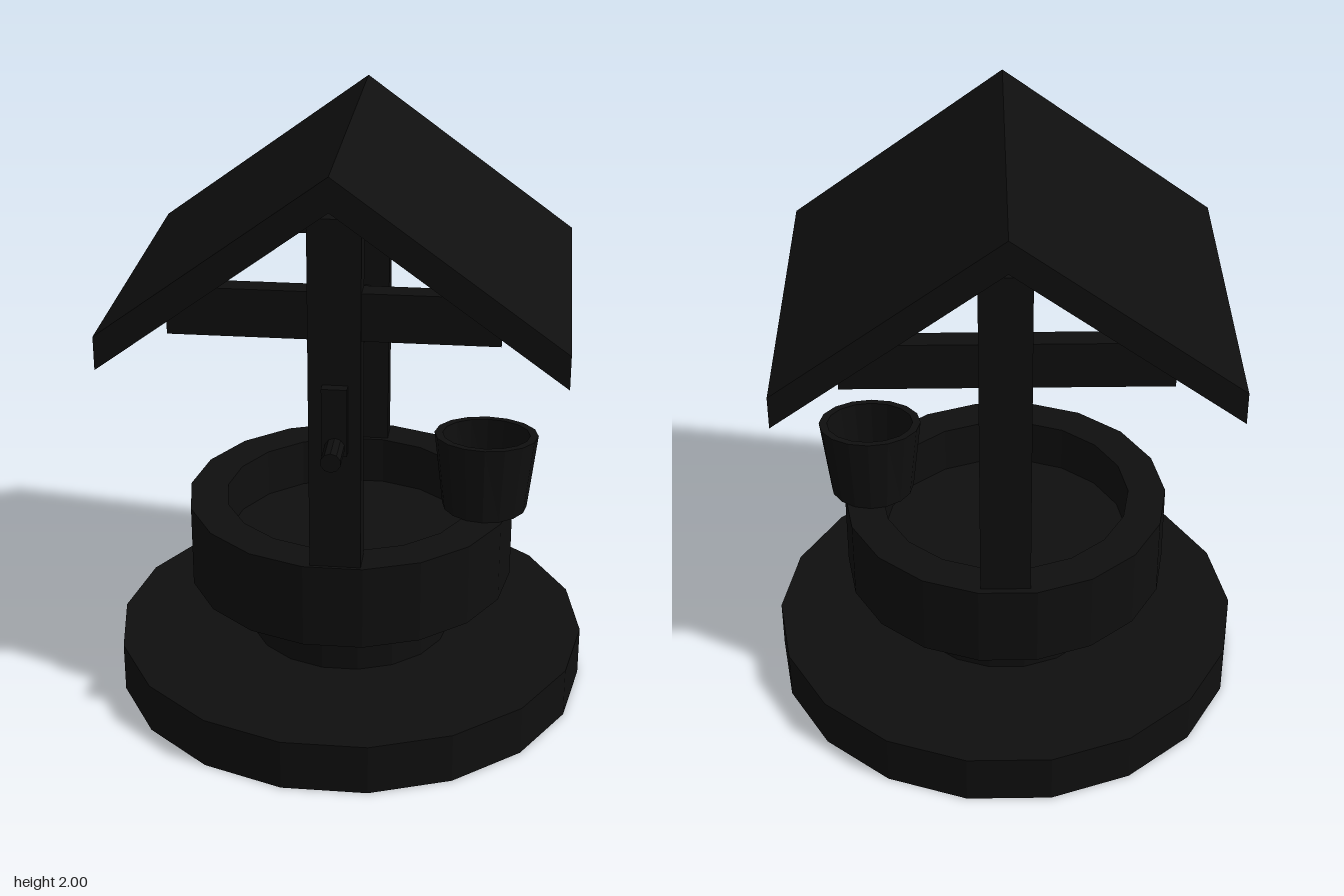
import * as THREE from 'three';

const material = new THREE.MeshStandardMaterial({ color: 0x0f0f0f, flatShading: true });

export function createModel() {
  const model = new THREE.Group();
  model.name = 'wishingWell';

  const add = (name, geometry, x = 0, y = 0, z = 0) => {
    const mesh = new THREE.Mesh(geometry, material);
    mesh.name = name;
    mesh.position.set(x, y, z);
    model.add(mesh);
    return mesh;
  };
  // Box given by its extents on each axis
  const box = (name, x0, x1, y0, y1, z0, z1) =>
    add(name, new THREE.BoxGeometry(x1 - x0, y1 - y0, z1 - z0),
      (x0 + x1) / 2, (y0 + y1) / 2, (z0 + z1) / 2);
  // Turned solid, with a corner of the polygon on the x axis
  const turned = (profile, sides = 18) => new THREE.LatheGeometry(
    profile.map(([r, y]) => new THREE.Vector2(r, y)), sides, Math.PI / 2 - Math.PI * 2 / sides * 4, Math.PI * 2);

  // Stone base, neck and hollow basin
  add('base', turned([[0, 0], [0.815, 0], [0.815, 0.175], [0, 0.175]]));
  add('neck', turned([[0.35, 0.17], [0.35, 0.4]]));
  add('basin', turned([[0, 0.39], [0.56, 0.39], [0.56, 0.68], [0.43, 0.68], [0.43, 0.51], [0, 0.51]]));

  // A post and a cross beam at each end
  for (const [end, z0, z1] of [['front', 0.45, 0.54], ['back', -0.53, -0.44]]) {
    box(end + 'Post', -0.075, 0.09, 0.66, 1.85, z0, z1);
    box(end + 'Beam', -0.51, 0.515, 1.46, 1.615, z0 + 0.01, z1 - 0.01);
  }

  // Gabled roof with vertical eave ends
  const gable = new THREE.Shape([
    [-0.725, 1.36], [0, 1.89], [0.725, 1.36], [0.725, 1.47], [0, 2], [-0.725, 1.47],
  ].map(([x, y]) => new THREE.Vector2(x, y)));
  add('roof', new THREE.ExtrudeGeometry(gable, { depth: 1.185, bevelEnabled: false }), 0, 0, -0.58);

  // Windlass: axle, crank arm and handle
  const axle = new THREE.CylinderGeometry(0.037, 0.037, 0.92, 12).rotateX(Math.PI / 2);
  add('axle', axle, 0.01, 1.242, 0.005);
  box('crankArm', -0.03, 0.05, 1.09, 1.315, 0.535, 0.575);
  const handle = new THREE.CylinderGeometry(0.032, 0.032, 0.15, 10).rotateX(Math.PI / 2);
  add('crankHandle', handle, 0.012, 1.12, 0.612);

  // Hollow bucket, widening toward the top along x only
  const bucket = turned([[0, 0], [0.14, 0], [0.14, 0.265], [0.118, 0.265], [0.118, 0.03], [0, 0.03]], 16);
  const p = bucket.attributes.position;
  for (let i = 0; i < p.count; i++) {
    p.setX(i, p.getX(i) * (1.03 + 0.22 * p.getY(i) / 0.265));
  }
  bucket.computeVertexNormals();
  add('bucket', bucket, 0.465, 0.68, 0.05);

  return model;
}
